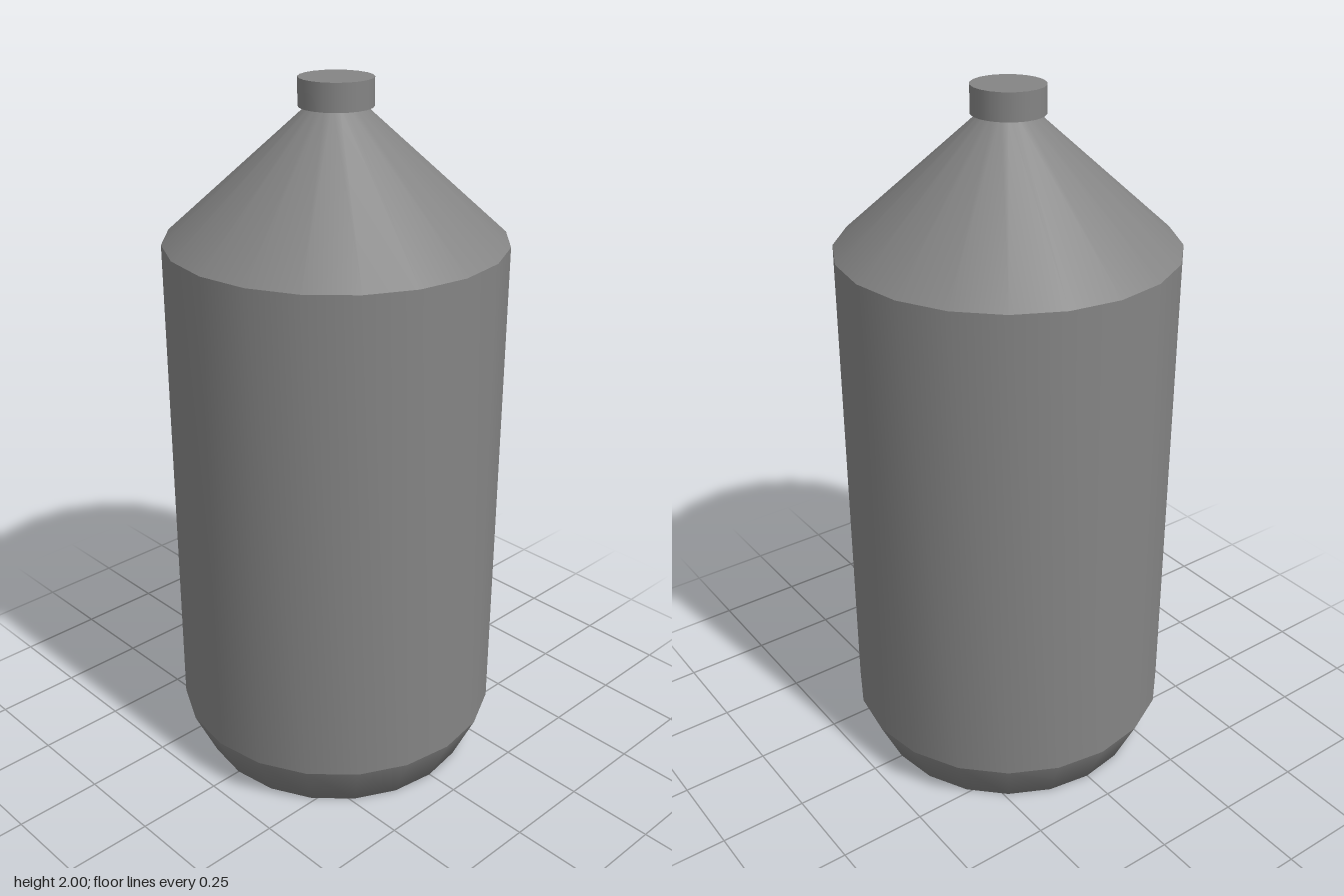
import * as THREE from 'three';
import { mergeVertices } from 'three/addons/utils/BufferGeometryUtils.js';

const SIDES = 20;
const material = new THREE.MeshStandardMaterial({ color: 0x848484 });

// Revolve a [radius, y] profile and share vertices, so large faces dominate the smooth normals.
function turned(name, profile) {
  const lathe = new THREE.LatheGeometry(profile.map(([r, y]) => new THREE.Vector2(r, y)), SIDES);
  lathe.deleteAttribute('uv');
  lathe.deleteAttribute('normal');
  const geometry = mergeVertices(lathe, 1e-4);
  geometry.computeVertexNormals();
  const mesh = new THREE.Mesh(geometry, material);
  mesh.name = name;
  return mesh;
}

export function createModel() {
  const bottle = new THREE.Group();
  bottle.name = 'bottle';

  // Flat base and tapered foot, shaded as one smooth skin
  bottle.add(turned('foot', [[0, 0], [0.404, 0], [0.469, 0.14]]));

  // Straight wall
  bottle.add(turned('wall', [[0.469, 0.14], [0.469, 1.57]]));

  // Conical shoulder, with a hard edge where it meets the wall
  bottle.add(turned('shoulder', [[0.469, 1.57], [0.06, 1.94]]));

  // Screw cap, slightly oval and a hair off the bottle's axis
  const cap = new THREE.Mesh(new THREE.CylinderGeometry(0.1, 0.1, 0.075, SIDES), material);
  cap.name = 'cap';
  cap.scale.z = 0.94;
  cap.rotation.y = -Math.PI / 4;
  cap.position.set(-0.003, 1.9625, 0.003);
  bottle.add(cap);

  return bottle;
}
